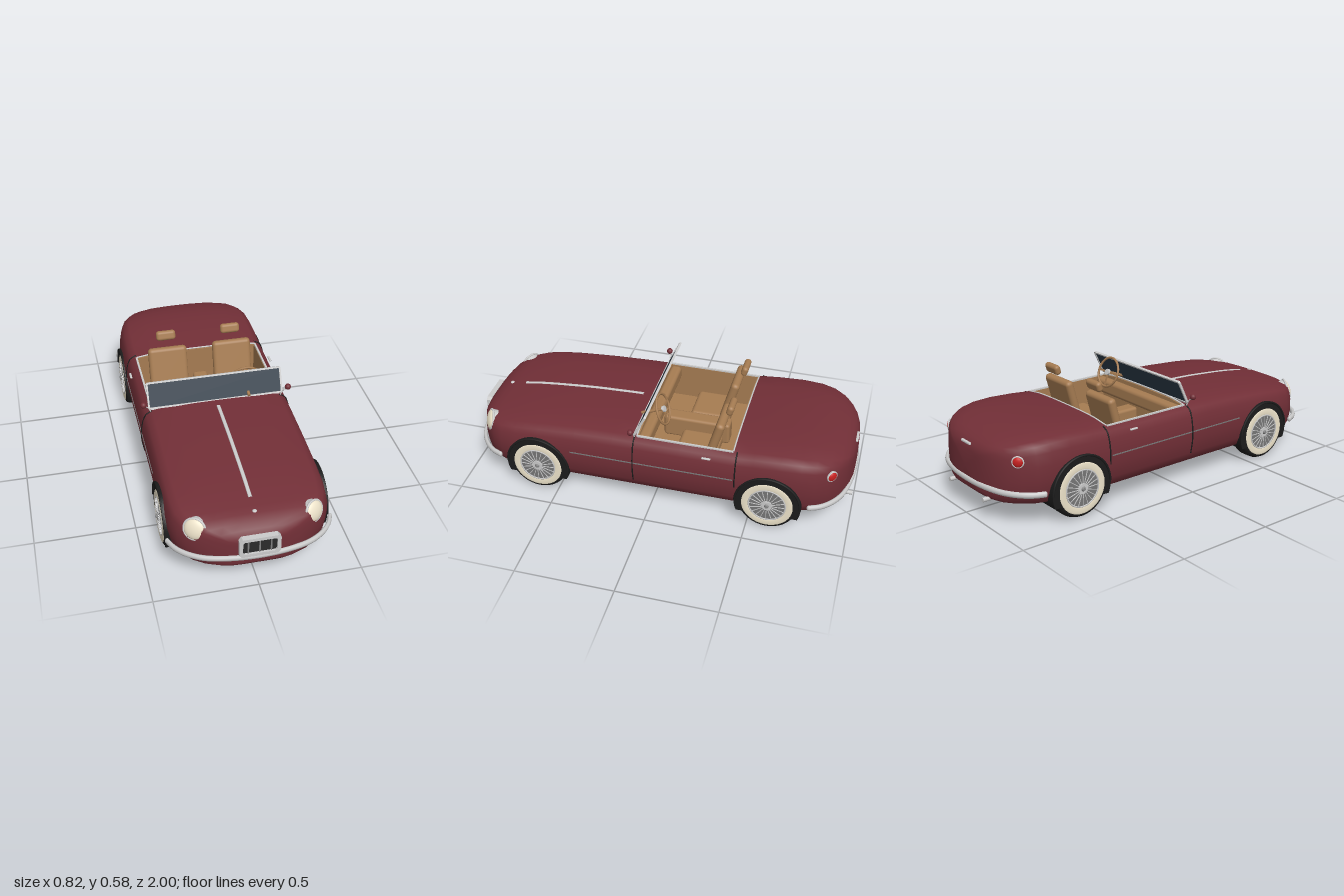
import * as THREE from 'three';
import { RoundedBoxGeometry } from 'three/addons/geometries/RoundedBoxGeometry.js';

const WINE = 0x722f37, CHROME = 0xcccccc, TAN = 0xa67c52, DARK = 0x1c1c1c, CREAM = 0xeee4cb, GLASS = 0x2c3a47, RED = 0xc62020;
const materials = {};
const mat = (color) => (materials[color] ??= new THREE.MeshStandardMaterial({ color, side: THREE.DoubleSide }));
function add(parent, name, geo, color, pos = [0, 0, 0], rot = [0, 0, 0]) {
  const mesh = new THREE.Mesh(geo, mat(color));
  mesh.name = name;
  mesh.position.set(...pos);
  mesh.rotation.set(...rot);
  parent.add(mesh);
  return mesh;
}
const box = (x, y, z) => new THREE.BoxGeometry(x, y, z);
const soft = (x, y, z, r) => new RoundedBoxGeometry(x, y, z, 3, r);
const cyl = (r, h, n = 16) => new THREE.CylinderGeometry(r, r, h, n);
const tube = (pts, r, n = 32) => new THREE.TubeGeometry(
  new THREE.CatmullRomCurve3(pts.map((p) => new THREE.Vector3(...p))), n, r, 8);

// Body stations: z, half width, top, bottom
const STATIONS = [
  [0.98, 0.09, 0.27, 0.135], [0.972, 0.145, 0.288, 0.12], [0.955, 0.205, 0.312, 0.112], [0.93, 0.262, 0.333, 0.105],
  [0.89, 0.318, 0.349, 0.1], [0.85, 0.354, 0.357, 0.096], [0.8, 0.378, 0.365, 0.092], [0.72, 0.389, 0.378, 0.088],
  [0.6, 0.392, 0.391, 0.086], [0.4, 0.392, 0.406, 0.085], [0.2, 0.392, 0.414, 0.085], [0.08, 0.392, 0.416, 0.085],
  [-0.15, 0.392, 0.416, 0.085], [-0.41, 0.392, 0.418, 0.085], [-0.52, 0.392, 0.429, 0.086], [-0.65, 0.391, 0.436, 0.088],
  [-0.75, 0.383, 0.434, 0.09], [-0.82, 0.364, 0.426, 0.094], [-0.88, 0.325, 0.413, 0.1], [-0.925, 0.275, 0.396, 0.106],
  [-0.955, 0.222, 0.379, 0.114], [-0.974, 0.165, 0.358, 0.124], [-0.985, 0.1, 0.33, 0.14],
];
// Half cross-section from bottom centre to top centre, as fractions
const SECTION = [[0, 0], [0.5, 0], [0.8, 0.012], [0.91, 0.06], [0.97, 0.2], [1, 0.42], [0.997, 0.62], [0.97, 0.79],
  [0.93, 0.89], [0.85, 0.945], [0.6, 0.985], [0.3, 0.998], [0, 1]];
const RING = [...SECTION, ...SECTION.slice(1, -1).reverse().map(([x, y]) => [-x, y])];
const RIM = 9;

function stationAt(z) {
  const i = Math.max(1, STATIONS.findIndex((s) => s[0] <= z));
  const a = STATIONS[i - 1], b = STATIONS[i], t = (a[0] - z) / (a[0] - b[0]);
  return a.map((v, k) => v + (b[k] - v) * t);
}
function surfacePoint(k, z) {
  const [, w, top, bot] = stationAt(z);
  return [RING[k][0] * w, bot + RING[k][1] * (top - bot), z];
}

// Lofted shell, left open over the cockpit
function bodyGeometry() {
  const pos = [], idx = [], n = RING.length, rows = STATIONS.length;
  for (const [z, w, top, bot] of STATIONS) for (const [fx, fy] of RING) pos.push(fx * w, bot + fy * (top - bot), z);
  for (let i = 0; i < rows - 1; i++) for (let j = 0; j < n; j++) {
    const open = STATIONS[i][0] <= 0.08 && STATIONS[i + 1][0] >= -0.41 && j >= RIM && j < n - RIM;
    if (open) continue;
    const a = i * n + j, b = i * n + (j + 1) % n, c = b + n, d = a + n;
    idx.push(a, d, b, d, c, b);
  }
  pos.push(0, 0.2, 0.984, 0, 0.24, -0.99);
  const front = rows * n, last = (rows - 1) * n;
  for (let j = 0; j < n; j++) {
    const k = (j + 1) % n;
    idx.push(front, j, k, front + 1, last + k, last + j);
  }
  const g = new THREE.BufferGeometry();
  g.setAttribute('position', new THREE.Float32BufferAttribute(pos, 3));
  g.setIndex(idx);
  g.computeVertexNormals();
  return g;
}

function rectFrame(w, h, border, depth, r) {
  const rect = (Path, hw, hh, c) => new Path().setFromPoints([[-hw + c, -hh], [hw - c, -hh], [hw, -hh + c], [hw, hh - c],
    [hw - c, hh], [-hw + c, hh], [-hw, hh - c], [-hw, -hh + c]].map((p) => new THREE.Vector2(...p)));
  const s = rect(THREE.Shape, w / 2, h / 2, r);
  s.holes.push(rect(THREE.Path, w / 2 - border, h / 2 - border, r / 2));
  return new THREE.ExtrudeGeometry(s, { depth, bevelEnabled: false });
}

// Wheel with its axis along y, outer face towards +y
function makeWheel() {
  const g = new THREE.Group();
  g.name = 'wheel';
  const lathe = (pts) => new THREE.LatheGeometry(pts.map((p) => new THREE.Vector2(...p)), 36);
  add(g, 'tyre', lathe([[0, -0.05], [0.13, -0.05], [0.143, -0.043], [0.15, -0.028], [0.15, 0.028], [0.143, 0.043], [0.13, 0.05], [0.09, 0.05]]), DARK);
  add(g, 'whitewall', lathe([[0.129, 0.05], [0.122, 0.053], [0.102, 0.053], [0.094, 0.051]]), CREAM);
  add(g, 'rimBack', cyl(0.095, 0.004, 36), 0x777777, [0, 0.0475, 0]);
  add(g, 'rim', new THREE.TorusGeometry(0.092, 0.004, 6, 36), CHROME, [0, 0.051, 0], [Math.PI / 2, 0, 0]);
  for (let i = 0; i < 20; i++) {
    const a = (i / 20) * Math.PI * 2;
    add(g, 'spoke', box(0.068, 0.003, 0.003), CHROME, [Math.cos(a) * 0.058, 0.054, Math.sin(a) * 0.058], [0, -a, -0.05]);
  }
  add(g, 'hub', cyl(0.026, 0.012, 20), CHROME, [0, 0.052, 0]);
  add(g, 'hubCap', new THREE.CylinderGeometry(0.008, 0.014, 0.012, 12), 0x888888, [0, 0.06, 0]);
  return g;
}

function makeSeat() {
  const g = new THREE.Group();
  g.name = 'seat';
  add(g, 'seatCushion', soft(0.21, 0.06, 0.21, 0.02), TAN, [0, 0.26, -0.2]);
  add(g, 'seatBack', soft(0.21, 0.27, 0.045, 0.02), TAN, [0, 0.367, -0.295], [-0.27, 0, 0]);
  add(g, 'headrest', soft(0.105, 0.052, 0.034, 0.016), TAN, [0, 0.552, -0.362], [-0.3, 0, 0]);
  return g;
}

export function createModel() {
  const car = new THREE.Group();
  car.name = 'roadster';
  add(car, 'body', bodyGeometry(), WINE);

  // Cockpit tub
  add(car, 'floor', box(0.67, 0.01, 0.49), TAN, [0, 0.2, -0.165]);
  add(car, 'tunnel', soft(0.08, 0.12, 0.35, 0.015), TAN, [0, 0.26, -0.155]);
  add(car, 'dashboard', soft(0.66, 0.08, 0.06, 0.02), TAN, [0, 0.355, 0.048]);
  const wall = new THREE.Shape([[-0.333, 0.2], [0.333, 0.2], [0.333, 0.396], [0.235, 0.409], [0, 0.414], [-0.235, 0.409], [-0.333, 0.396]]
    .map((p) => new THREE.Vector2(...p)));
  for (const [z, name] of [[0.07, 'firewall'], [-0.41, 'rearBulkhead']]) {
    add(car, name, new THREE.ExtrudeGeometry(wall, { depth: 0.008, bevelEnabled: false }), TAN, [0, 0, z]);
    const rim = [9, 10, 11, 12, 13, 14, 15].map((k) => surfacePoint(k, z < 0 ? -0.41 : 0.08));
    add(car, 'cockpitEdgeTrim', tube(rim, 0.004), CHROME);
  }

  // Windscreen
  const screen = new THREE.Group();
  screen.name = 'windscreen';
  screen.position.set(0, 0.41, 0.09);
  screen.rotation.x = -0.45;
  add(screen, 'windscreenFrame', rectFrame(0.704, 0.138, 0.009, 0.012, 0.006), CHROME, [0, 0.068, -0.006]);
  add(screen, 'windscreenGlass', box(0.69, 0.124, 0.004), GLASS, [0, 0.068, 0]);
  car.add(screen);

  // Steering wheel
  const steering = new THREE.Group();
  steering.name = 'steeringWheel';
  steering.position.set(0.172, 0.466, -0.012);
  steering.rotation.x = 0.37;
  add(steering, 'steeringRim', new THREE.TorusGeometry(0.078, 0.006, 8, 32), TAN);
  for (const a of [0, Math.PI, -Math.PI / 2])
    add(steering, 'steeringSpoke', box(0.075, 0.01, 0.004), TAN, [Math.cos(a) * 0.038, Math.sin(a) * 0.038, 0], [0, 0, a]);
  add(steering, 'steeringHub', cyl(0.016, 0.014), CHROME, [0, 0, -0.004], [Math.PI / 2, 0, 0]);
  add(steering, 'steeringColumn', cyl(0.008, 0.12), TAN, [0, 0, 0.06], [Math.PI / 2, 0, 0]);
  car.add(steering);

  // Bonnet trim and grille
  const ridge = [0.8, 0.7, 0.55, 0.4, 0.27, 0.14].map((z) => [0, stationAt(z)[2], z]);
  add(car, 'bonnetStrip', tube(ridge, 0.004), CHROME).scale.x = 2.4;
  add(car, 'noseBadge', new THREE.SphereGeometry(0.011, 16, 8), CHROME, [0, 0.352, 0.88]).scale.y = 0.5;
  add(car, 'grilleFrame', rectFrame(0.195, 0.108, 0.017, 0.028, 0.014), CHROME, [0, 0.24, 0.97]);
  add(car, 'grilleBack', box(0.165, 0.08, 0.01), 0x2a2a2a, [0, 0.24, 0.982]);
  for (const x of [-0.054, 0, 0.054]) add(car, 'grilleBar', cyl(0.004, 0.082, 8), 0x888888, [x, 0.24, 0.989]);

  // Bumpers
  const bumperHalf = [[0.393, 0.805], [0.37, 0.855], [0.325, 0.905], [0.25, 0.95], [0.14, 0.977]];
  for (const s of [1, -1]) {
    const pts = [...bumperHalf, [0, 0.987], ...[...bumperHalf].reverse().map(([x, z]) => [-x, z])].map(([x, z]) => [x, 0, z * s]);
    const name = s > 0 ? 'frontBumper' : 'rearBumper';
    add(car, name, tube(pts, 0.011, 48), CHROME, [0, 0.176, 0]).scale.y = 1.4;
    for (const x of [1, -1]) add(car, name + 'End', new THREE.SphereGeometry(0.011, 10, 8), CHROME, [x * 0.393, 0.176, 0.805 * s]).scale.y = 1.4;
  }
  add(car, 'bootHandle', soft(0.08, 0.012, 0.014, 0.004), CHROME, [0, 0.355, -0.978]);

  // Wheel housing outline, cut flat at the sill
  const arch = new THREE.Shape();
  arch.absarc(0, 0, 0.167, -0.4, Math.PI + 0.4, false);

  for (const s of [1, -1]) {
    for (const z of [0.6, -0.6]) {
      const wheel = makeWheel();
      wheel.position.set(s * 0.346, 0.15, z);
      wheel.rotation.z = -s * Math.PI / 2;
      car.add(wheel);
      add(car, 'wheelHousing', new THREE.ExtrudeGeometry(arch, { depth: 0.125, bevelEnabled: false, curveSegments: 32 }), DARK,
        [s > 0 ? 0.27 : -0.395, 0.15, z], [0, Math.PI / 2, 0]);
      add(car, 'archLip', new THREE.TorusGeometry(0.163, 0.006, 6, 32, Math.PI), DARK, [s * 0.396, 0.15, z], [0, Math.PI / 2, 0]);
    }
    const seat = makeSeat();
    seat.position.x = s * 0.176;
    car.add(seat);
    add(car, 'doorLining', box(0.008, 0.195, 0.49), TAN, [s * 0.331, 0.297, -0.165]);
    add(car, 'doorTopTrim', box(0.01, 0.008, 0.49), CHROME, [s * 0.334, 0.398, -0.165]);

    // Lamps
    const lamp = new THREE.Group();
    lamp.name = 'headlight';
    lamp.position.set(s * 0.281, 0.306, 0.89);
    lamp.lookAt(s * 0.281 + s * 0.5, 0.306 + 0.3, 0.89 + 0.8);
    add(lamp, 'headlightRing', new THREE.TorusGeometry(0.052, 0.006, 8, 32), CHROME);
    add(lamp, 'headlightBowl', cyl(0.052, 0.04, 32), CHROME, [0, 0, -0.02], [Math.PI / 2, 0, 0]);
    add(lamp, 'headlightLens', new THREE.SphereGeometry(0.051, 32, 16), CREAM).scale.z = 0.4;
    car.add(lamp);
    const tail = new THREE.Group();
    tail.name = 'tailLight';
    tail.position.set(s * 0.312, 0.33, -0.894);
    tail.lookAt(s * 0.312 + s * 0.8, 0.35, -0.894 - 0.75);
    add(tail, 'tailLightRing', new THREE.TorusGeometry(0.026, 0.004, 8, 24), CHROME);
    add(tail, 'tailLightBase', cyl(0.026, 0.03, 24), CHROME, [0, 0, -0.015], [Math.PI / 2, 0, 0]);
    add(tail, 'tailLightLens', new THREE.SphereGeometry(0.025, 20, 12), RED).scale.z = 0.5;
    car.add(tail);

    // Door details, mirrors and exhausts
    const seam = (z, from) => {
      const pts = [];
      for (let k = from; k <= RIM; k++) { const [x, y] = surfacePoint(k, z); pts.push([s * x, y, z]); }
      add(car, 'doorSeam', tube(pts, 0.0035), DARK);
    };
    seam(0.09, 4);
    seam(-0.43, 5);
    add(car, 'sideMoulding', box(0.005, 0.005, 0.84), 0x777777, [s * 0.392, 0.268, 0]);
    add(car, 'doorHandle', soft(0.012, 0.009, 0.045, 0.004), CHROME, [s * 0.386, 0.37, -0.285]);
    add(car, 'mirror', new THREE.SphereGeometry(0.016, 16, 12), WINE, [s * 0.377, 0.447, 0.1]);
    add(car, 'mirrorArm', tube([[s * 0.34, 0.395, 0.09], [s * 0.358, 0.428, 0.095], [s * 0.377, 0.436, 0.1]], 0.003, 10), CHROME);
    add(car, 'exhaust', cyl(0.011, 0.13), CHROME, [s * 0.155, 0.117, -0.93], [Math.PI / 2, 0, 0]);
  }
  return car;
}
